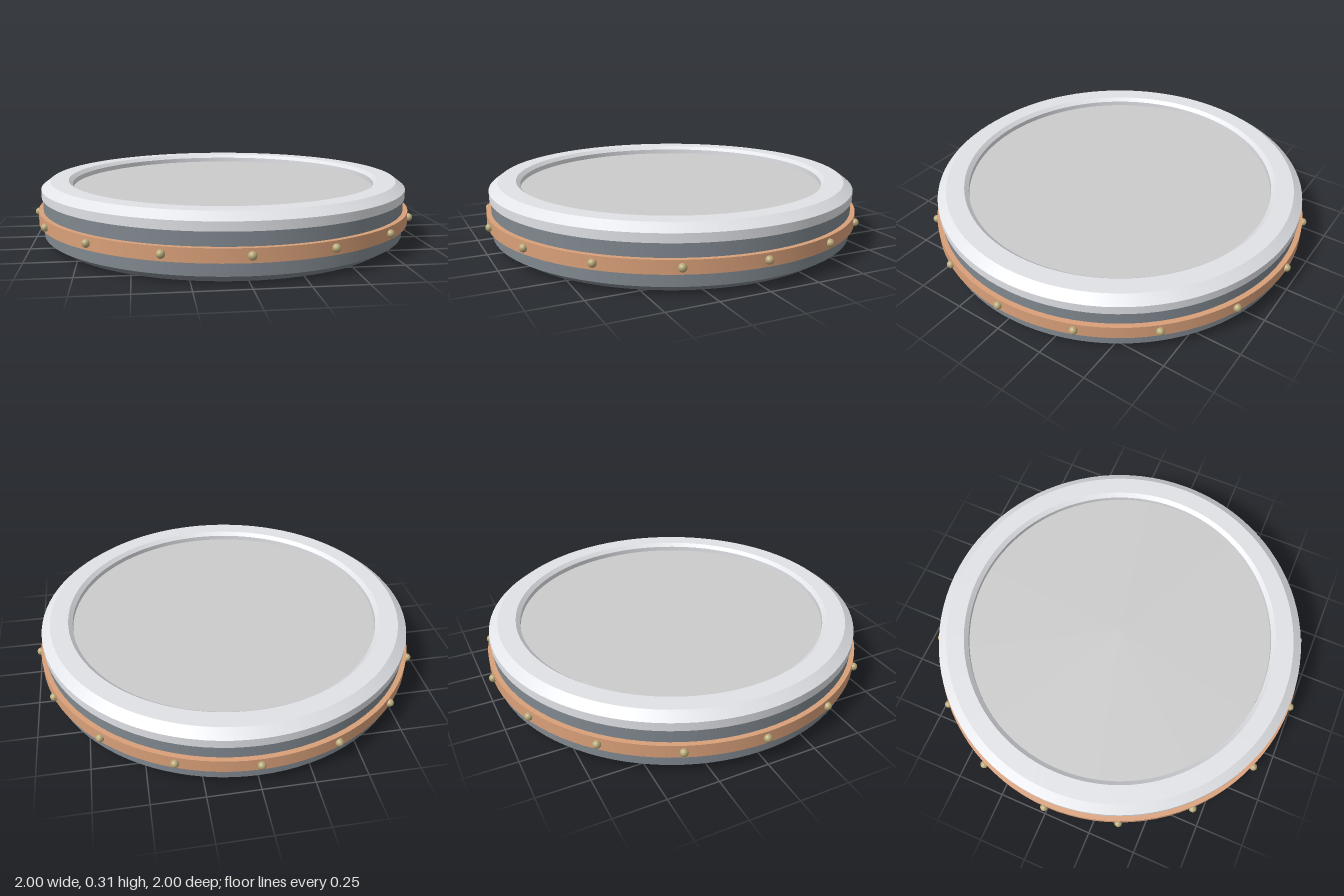
import * as THREE from 'three';
import { toCreasedNormals } from 'three/addons/utils/BufferGeometryUtils.js';

const material = (color) => new THREE.MeshStandardMaterial({ color });

// Turned part from [radius, height] pairs, listed counter-clockwise (bottom, outside, top)
function turned(name, profile, color) {
  const points = profile.map(([r, y]) => new THREE.Vector2(r, y));
  const geometry = toCreasedNormals(new THREE.LatheGeometry(points, 96), 0.4);
  const mesh = new THREE.Mesh(geometry, material(color));
  mesh.name = name;
  return mesh;
}

export function createModel() {
  const model = new THREE.Group();
  model.name = 'roundCase';

  // Shallow round body with a chamfered foot
  model.add(turned('body', [
    [0, 0], [0.888, 0], [0.95, 0.04], [0.95, 0.24], [0.8, 0.24],
  ], 0x80888f));

  // Raised rim, bevelled outside and inside
  model.add(turned('rim', [
    [0.797, 0.235], [0.957, 0.235], [0.957, 0.278], [0.91, 0.313],
    [0.818, 0.313], [0.797, 0.295], [0.797, 0.235],
  ], 0xe0e2e6));

  // Flat face recessed inside the rim
  const face = new THREE.Mesh(new THREE.CircleGeometry(0.798, 96), material(0xcccccc));
  face.name = 'face';
  face.rotation.x = -Math.PI / 2;
  face.position.y = 0.27;
  model.add(face);

  // Copper band around the body
  model.add(turned('band', [
    [0.945, 0.104], [0.975, 0.104], [0.975, 0.169], [0.945, 0.169], [0.945, 0.104],
  ], 0xd9a079));

  // Round studs spaced evenly along the band
  const studs = new THREE.Group();
  studs.name = 'studs';
  const studGeometry = new THREE.SphereGeometry(0.02, 16, 12);
  const studMaterial = material(0xb8a878);
  const count = 16;
  for (let i = 0; i < count; i++) {
    const angle = (i / count) * Math.PI * 2;
    const stud = new THREE.Mesh(studGeometry, studMaterial);
    stud.name = 'stud';
    stud.position.set(Math.cos(angle) * 0.98, 0.137, Math.sin(angle) * 0.98);
    studs.add(stud);
  }
  model.add(studs);

  return model;
}
